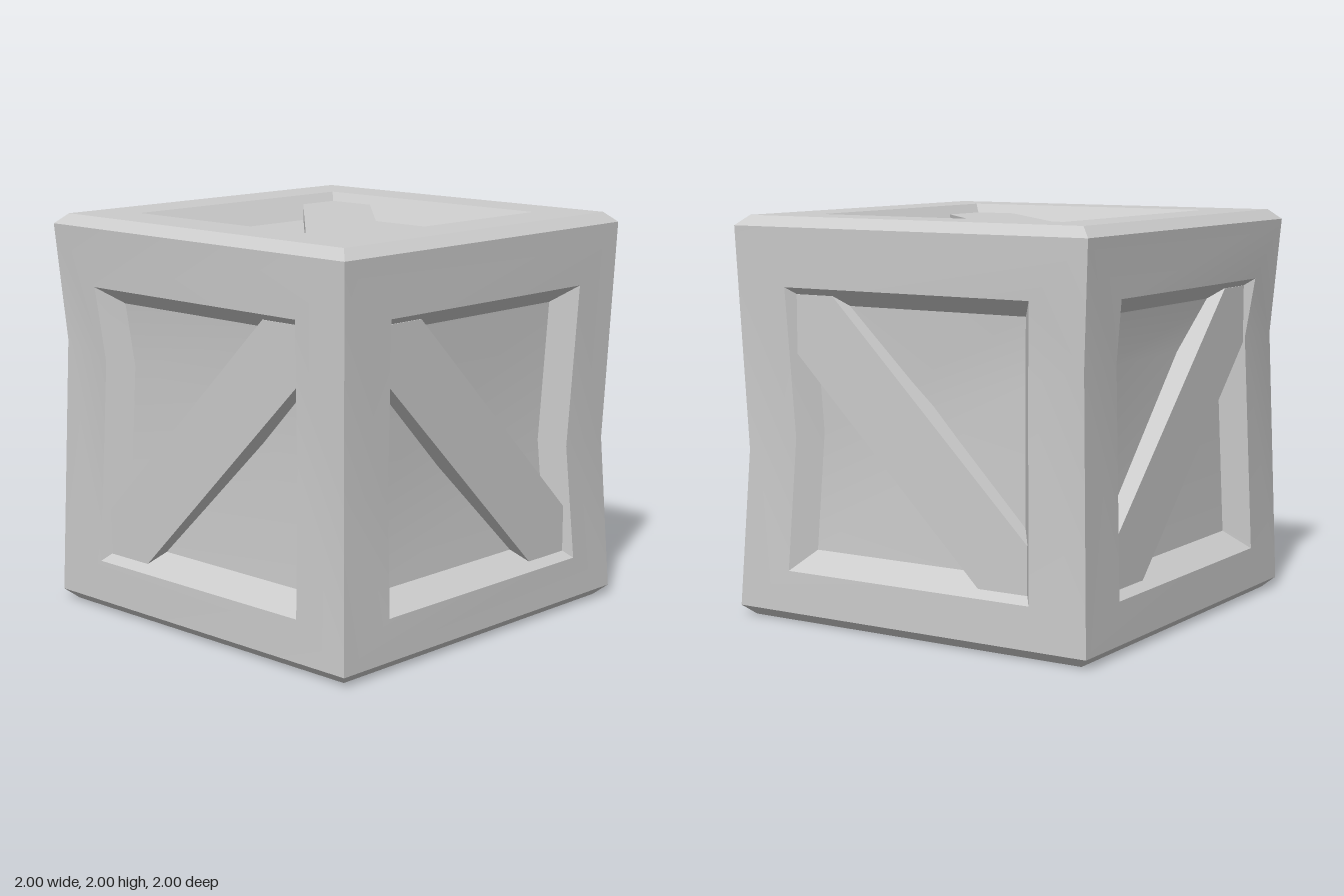
import * as THREE from 'three';
import { toCreasedNormals } from 'three/addons/utils/BufferGeometryUtils.js';

const material = new THREE.MeshStandardMaterial({ color: 0xcccccc });

// Skin between successive rings of points, closed by a cap on the last ring
function ringGeometry(rings) {
  const pos = [];
  const quad = (a, b, c, d) => [a, b, c, a, c, d].forEach((p) => pos.push(p.x, p.y, p.z));
  for (let r = 0; r + 1 < rings.length; r++) {
    const o = rings[r], n = rings[r + 1];
    o.forEach((p, i) => {
      const j = (i + 1) % o.length;
      quad(p, o[j], n[j], n[i]);
    });
  }
  const l = rings[rings.length - 1];
  if (l.length === 6) {
    quad(l[0], l[1], l[2], l[5]);
    quad(l[5], l[2], l[3], l[4]);
  } else quad(...l);
  const g = new THREE.BufferGeometry();
  g.setAttribute('position', new THREE.Float32BufferAttribute(pos, 3));
  return toCreasedNormals(g, 0.5);
}

// Upright rectangle with a pinched waist along a tilted line
function sideRing(half, y0, y1, out, angle) {
  const up = new THREE.Vector3(0, 1, 0);
  const corner = (u, y) => new THREE.Vector3(u, y, out).applyAxisAngle(up, angle);
  const waist = (u) => {
    const p = corner(u, 0);
    return new THREE.Vector3(p.x * 0.96, 1.1 - 0.26 * p.x, p.z * 0.96);
  };
  return [corner(-half, y0), corner(half, y0), waist(half),
    corner(half, y1), corner(-half, y1), waist(-half)];
}

// Level square
function lidRing(h, y) {
  return [[-h, h], [h, h], [h, -h], [-h, -h]].map(([x, z]) => new THREE.Vector3(x, y, z));
}

// Diagonal plank with clipped ends, its outer face at z = 0.955
function braceGeometry() {
  const outline = [[-0.66, -0.665], [-0.39, -0.665], [0.655, 0.375],
    [0.655, 0.665], [0.44, 0.665], [-0.66, -0.43]];
  const shape = new THREE.Shape(outline.map(([x, y]) => new THREE.Vector2(x, y)));
  return new THREE.ExtrudeGeometry(shape, { depth: 0.135, bevelEnabled: false }).translate(0, 0, 0.82);
}

export function createModel() {
  const crate = new THREE.Group();
  crate.name = 'crate';
  const add = (name, geometry) => {
    const mesh = new THREE.Mesh(geometry, material);
    mesh.name = name;
    crate.add(mesh);
  };

  // Four framed sides with recessed panels
  ['frontSide', 'leftSide', 'backSide', 'rightSide'].forEach((name, k) => {
    const a = k * Math.PI / 2;
    add(name, ringGeometry([
      sideRing(1, 0.05, 1.95, 1, a),
      sideRing(0.695, 0.26, 1.66, 1, a),
      sideRing(0.605, 0.355, 1.575, 0.88, a),
    ]));
  });

  // Bevelled top and bottom
  const lid = ringGeometry([lidRing(1, 1.95), lidRing(0.945, 2), lidRing(0.695, 2), lidRing(0.605, 1.88)]);
  add('top', lid);
  add('bottom', lid.clone().rotateX(Math.PI).translate(0, 2, 0));

  // One diagonal brace in each recess; opposite braces run parallel
  const opposite = [0, 0, -0.955 - 0.82];
  const pair = (names, place) => {
    add(names[0], place(braceGeometry()));
    add(names[1], place(braceGeometry().translate(...opposite)));
  };
  pair(['frontBrace', 'backBrace'], (g) => g.translate(0, 0.96, 0));
  pair(['rightBrace', 'leftBrace'], (g) => g.rotateY(-Math.PI / 2).translate(0, 0.96, 0));
  pair(['bottomBrace', 'topBrace'], (g) => g.rotateX(Math.PI / 2).translate(0, 1, 0));

  return crate;
}
